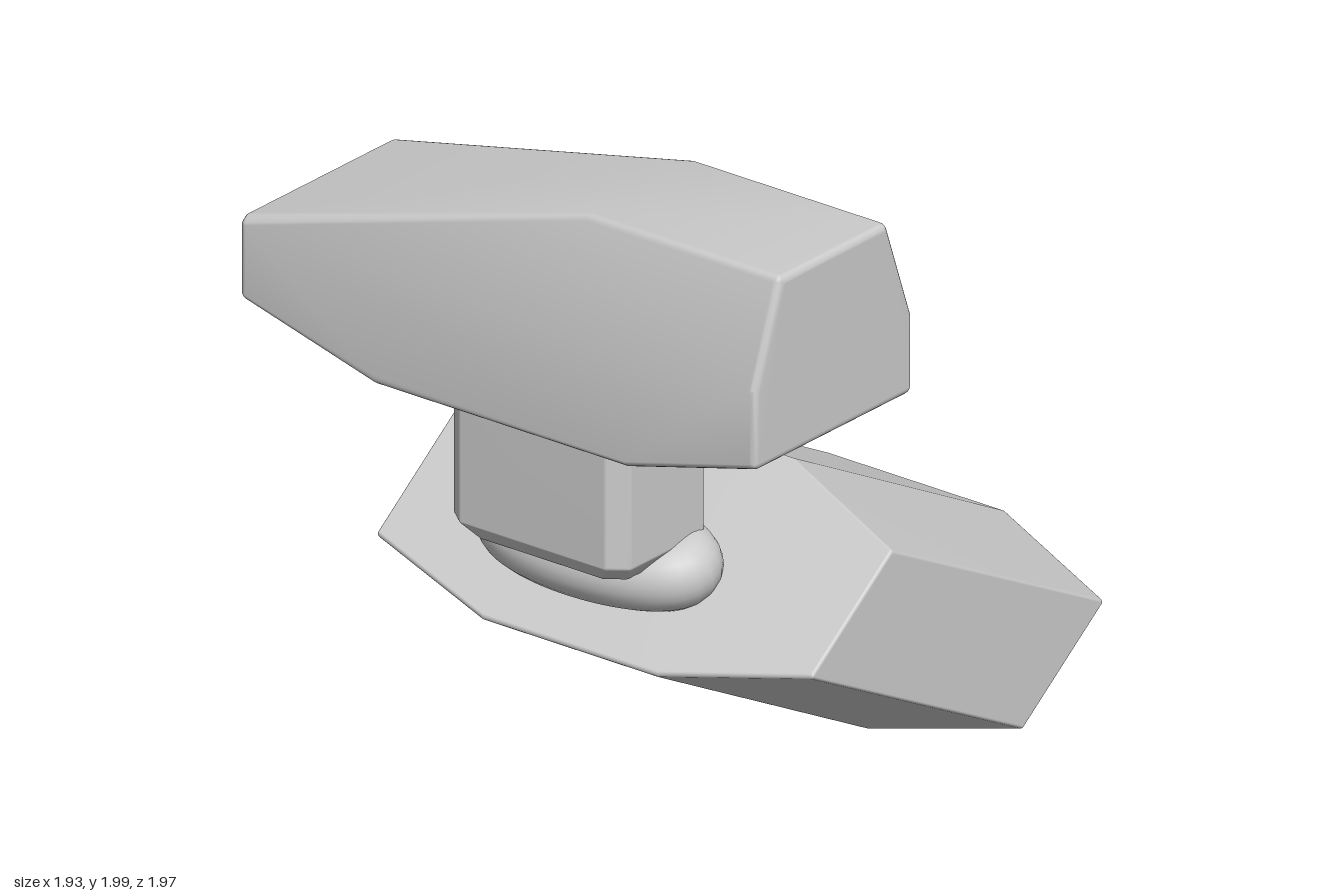
import * as THREE from 'three';
import { mergeVertices } from 'three/addons/utils/BufferGeometryUtils.js';
import { ConvexGeometry } from 'three/addons/geometries/ConvexGeometry.js';

const V = (x, y, z) => new THREE.Vector3(x, y, z);
const material = new THREE.MeshStandardMaterial({ color: 0xcccccc });

function part(name, geometry) {
  const mesh = new THREE.Mesh(geometry, material);
  mesh.name = name;
  return mesh;
}

// Faceted solid through the given corners, with edges rounded by radius r
function roundedHull(corners, r) {
  const box = new THREE.Box3().setFromPoints(corners);
  const c = box.getCenter(V(0, 0, 0));
  const ball = mergeVertices(new THREE.IcosahedronGeometry(r, 2).deleteAttribute('uv').deleteAttribute('normal'));
  const pos = ball.getAttribute('position');
  const inset = (d) => -r * THREE.MathUtils.clamp(d / 0.15, -1, 1);
  const points = [];
  for (const p of corners) {
    const q = V(p.x + inset(p.x - c.x), p.y + inset(p.y - c.y), p.z + inset(p.z - c.z));
    for (let i = 0; i < pos.count; i++) points.push(V(0, 0, 0).fromBufferAttribute(pos, i).add(q));
  }
  // Area-weighted normals keep the large faces flat
  const g = mergeVertices(new ConvexGeometry(points).deleteAttribute('normal'), 1e-5);
  g.computeVertexNormals();
  return g;
}

export function createModel() {
  const group = new THREE.Group();

  // Head: stations along x of [x, bottom y, shoulder y, top y, top inset]
  const head = [];
  const stations = [
    [-0.96, 1.43, 1.67, 1.68, 0.01],
    [-0.48, 1.3, 1.67, null, 0],
    [0.27, null, 1.67, 2.0, 0.11],
    [0.5, 1.3, 1.67, null, 0],
    [0.96, 1.42, 1.67, 2.0, 0.11],
  ];
  for (const [x, bottom, shoulder, top, inset] of stations) {
    for (const s of [-1, 1]) {
      if (bottom !== null) head.push(V(x, bottom, 0.615 + s * 0.365));
      if (top !== null) {
        head.push(V(x, shoulder, 0.615 + s * 0.365));
        head.push(V(x, top, 0.615 + s * (0.365 - inset)));
      }
    }
  }
  group.add(part('head', roundedHull(head, 0.025)));

  // Neck: upright post with cut corners
  const neck = [];
  for (const [y, k] of [[0.81, 0.04], [0.86, 0], [1.27, 0], [1.33, 0.04]]) {
    for (const sx of [-1, 1]) for (const sz of [-1, 1]) {
      neck.push(V(0.01 + sx * (0.33 - k), y, 0.615 + sz * (0.175 - k)));
      neck.push(V(0.01 + sx * (0.28 - k), y, 0.615 + sz * (0.215 - k)));
    }
  }
  group.add(part('neck', roundedHull(neck, 0.015)));

  // Collar: oval ring tilted up towards the back
  const oval = [];
  for (let i = 0; i < 32; i++) {
    const a = (i / 32) * Math.PI * 2;
    oval.push(V(0.315 * Math.cos(a), 0, 0.105 * Math.sin(a)));
  }
  const collar = part('collar', new THREE.TubeGeometry(new THREE.CatmullRomCurve3(oval, true), 96, 0.105, 24, true));
  collar.position.set(0.02, 0.78, 0.53);
  collar.rotation.x = 0.22;
  group.add(collar);

  // Body: slanted octagon swept back and down, tapering to a smaller rear face
  const octagon = [
    [-0.25, 1.01, 0.13], [0.42, 1.01, 0.13], [0.89, 0.905, 0.27], [0.89, 0.64, 0.63],
    [0.42, 0.55, 0.75], [-0.25, 0.55, 0.75], [-0.73, 0.64, 0.63], [-0.73, 0.905, 0.27],
  ];
  const along = (y, z, t) => [y - 0.515 * t, z - 0.985 * t];
  const body = [];
  for (const [x, y, z] of octagon) {
    body.push(V(x, y, z), V(x, ...along(y, z, 1)));
  }
  for (const x of [-0.47, 0.62]) body.push(V(x, 0.26, -0.95), V(x, 0.01, -0.61));
  group.add(part('body', roundedHull(body, 0.012)));

  // Side wing: wedge on the right flank, fading out towards the rear
  const wing = [V(-0.97, 0.735, -0.05), V(-0.97, 0.48, 0.285)];
  for (const [y, z] of [[0.905, 0.27], [0.64, 0.63]]) {
    for (const t of [0.24, 1]) {
      wing.push(V(-0.73, ...along(y, z, t)), V(-0.66, ...along(y, z, t)));
    }
  }
  group.add(part('sideWing', roundedHull(wing, 0.006)));

  // Rear plug: oval disc parallel to the rear face
  const plug = new THREE.CylinderGeometry(1, 1, 1, 48);
  plug.applyMatrix4(new THREE.Matrix4().makeBasis(
    V(0.28, 0, 0), V(0, -0.042, -0.08), V(0, 0.069, -0.093),
  ).setPosition(0.08, 0.11, -0.853));
  group.add(part('rearPlug', plug));

  return group;
}
